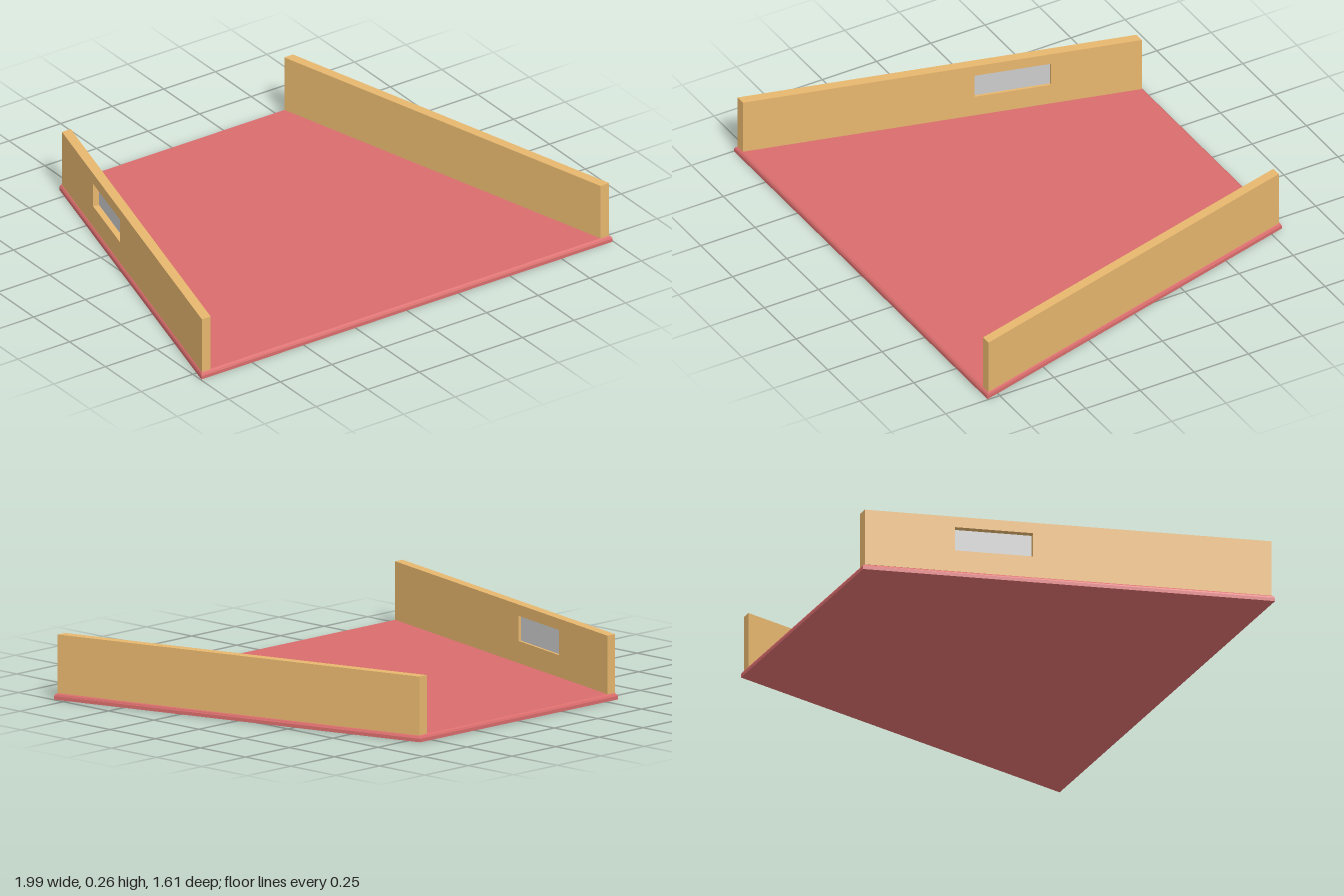
import * as THREE from 'three';

const material = (color) => new THREE.MeshStandardMaterial({ color, flatShading: true });

const WALL_Y0 = 0.025, WALL_Y1 = 0.265, WALL_T = 0.041;
const RUN = 1.59, LEAN = 0.427;              // wall extent in z and in x
const LENGTH = Math.hypot(RUN, LEAN);
const ANGLE = Math.atan2(RUN, LEAN);
const OPENING = { u0: 0.143, u1: 0.458, y0: 0.117, y1: 0.219 };

function rectangle(path, x0, y0, x1, y1) {
  path.moveTo(x0, y0);
  path.lineTo(x1, y0);
  path.lineTo(x1, y1);
  path.lineTo(x0, y1);
  path.closePath();
  return path;
}

// Trapezoid slab with its upper edge eased by stacked, inset outlines
function floorGeometry() {
  const levels = [[0, 0], [0.014, 0], [0.022, 0.004], [0.027, 0.011]]; // height, inset
  const positions = [], index = [];
  for (const [y, i] of levels) {
    const front = 0.997 - i, back = 0.566 - i, z = 0.805 - i;
    positions.push(-front, y, z, front, y, z, back, y, -z, -back, y, -z);
  }
  for (let l = 0; l < levels.length - 1; l++) {
    for (let k = 0; k < 4; k++) {
      const a = l * 4 + k, b = l * 4 + (k + 1) % 4;
      index.push(a, b, b + 4, a, b + 4, a + 4);
    }
  }
  const t = (levels.length - 1) * 4;
  index.push(t, t + 1, t + 2, t, t + 2, t + 3, 0, 2, 1, 0, 3, 2);
  const geometry = new THREE.BufferGeometry();
  geometry.setAttribute('position', new THREE.Float32BufferAttribute(positions, 3));
  geometry.setIndex(index);
  const flat = geometry.toNonIndexed();
  flat.computeVertexNormals();
  return flat;
}

// Upright wall, extruded inwards, with its ends mitred to face straight forward and back
function wallGeometry(side, hasOpening) {
  const half = LENGTH / 2;
  const shape = rectangle(new THREE.Shape(), -half, WALL_Y0, half, WALL_Y1);
  if (hasOpening) {
    const { u0, u1, y0, y1 } = OPENING;
    shape.holes.push(rectangle(new THREE.Path(), u0, y0, u1, y1));
  }
  const geometry = new THREE.ExtrudeGeometry(shape, { depth: WALL_T, bevelEnabled: false });
  const p = geometry.attributes.position;
  for (let i = 0; i < p.count; i++) {
    if (Math.abs(p.getX(i)) > half - 0.01) {
      p.setX(i, p.getX(i) - side * p.getZ(i) / Math.tan(ANGLE));
    }
  }
  geometry.computeVertexNormals();
  return geometry;
}

export function createModel() {
  const model = new THREE.Group();
  model.name = 'flaredRoom';

  const floor = new THREE.Mesh(floorGeometry(), material(0xd96c6c));
  floor.name = 'floor';
  model.add(floor);

  // Two splayed side walls; the one on the model's right has a window
  const wallMaterial = material(0xe6b66e);
  for (const side of [-1, 1]) {
    const group = new THREE.Group();
    group.name = side < 0 ? 'rightWallGroup' : 'leftWallGroup';
    group.position.x = side * 0.7735;
    group.rotation.y = -side * ANGLE;

    const wall = new THREE.Mesh(wallGeometry(side, side < 0), wallMaterial);
    wall.name = side < 0 ? 'rightWall' : 'leftWall';
    group.add(wall);

    if (side < 0) {
      const { u0, u1, y0, y1 } = OPENING;
      const pane = new THREE.Mesh(new THREE.BoxGeometry(u1 - u0, y1 - y0, 0.004), material(0xcccccc));
      pane.name = 'windowPane';
      pane.position.set((u0 + u1) / 2, (y0 + y1) / 2, 0.028);
      group.add(pane);
    }
    model.add(group);
  }
  return model;
}
